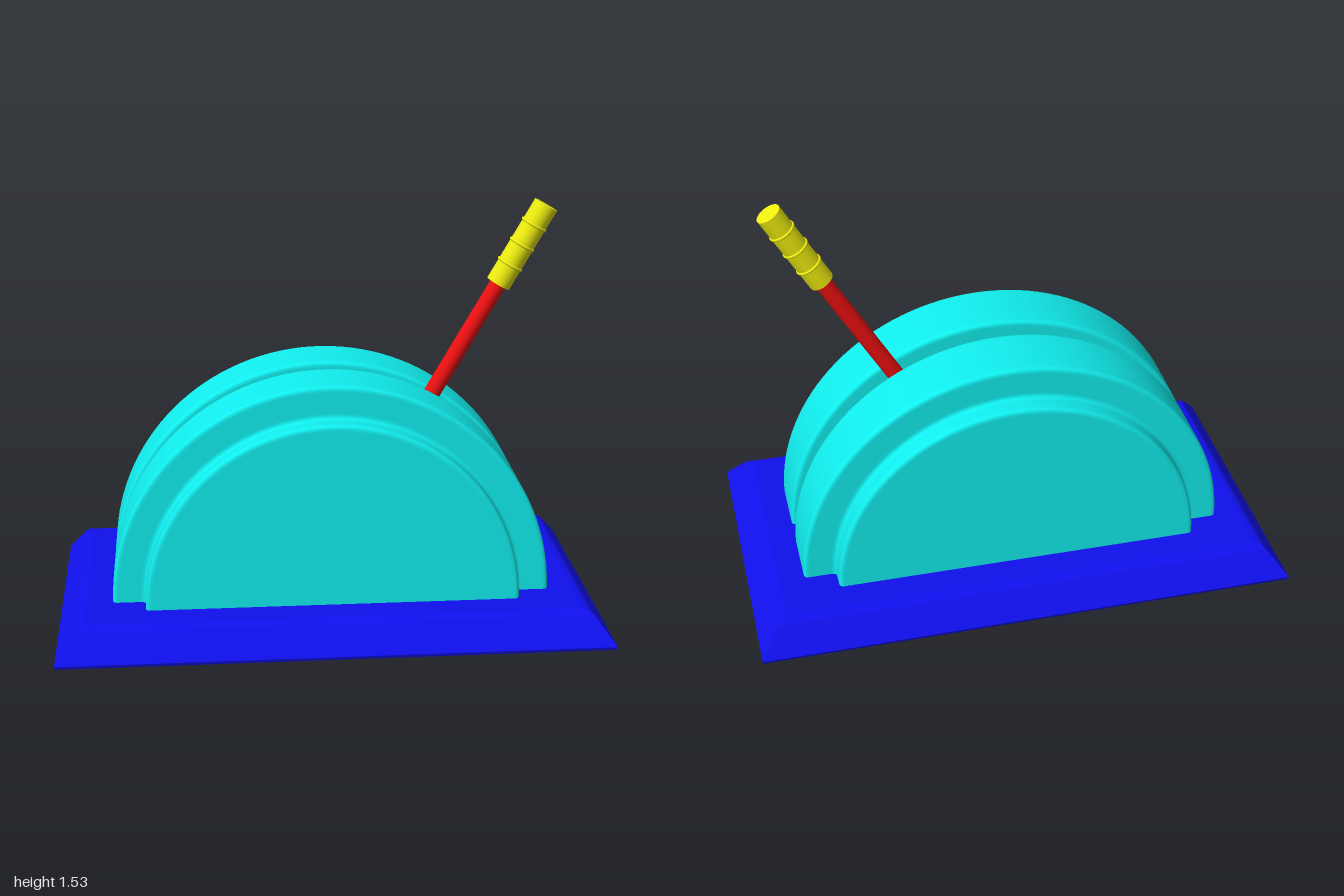
import * as THREE from 'three';

const mat = (color) => new THREE.MeshStandardMaterial({ color });

function addMesh(parent, name, geometry, material) {
  const mesh = new THREE.Mesh(geometry, material);
  mesh.name = name;
  parent.add(mesh);
  return mesh;
}

// Outline with every inner corner rounded; extra points keep the flats flat-shaded.
function roundedProfile(corners, r) {
  const points = [corners[0]];
  for (let i = 1; i < corners.length - 1; i++) {
    const c = corners[i];
    const toward = (p, d) => c.clone().add(p.clone().sub(c).setLength(d));
    const [a, b] = [corners[i - 1], corners[i + 1]];
    const arc = new THREE.QuadraticBezierCurve(toward(a, r), c, toward(b, r));
    points.push(toward(a, r + 0.003), ...arc.getPoints(6), toward(b, r + 0.003));
  }
  points.push(corners[corners.length - 1]);
  return points;
}

// Sloped plinth: a box whose rows are inset by level.
function baseGeometry() {
  const levels = [[0.12, 0.105], [0.115, 0.085], [0.105, 0.073], [0.012, 0], [0, 0.004]];
  const rows = levels.length - 1;
  const geo = new THREE.BoxGeometry(2, 1, 1.15, 1, rows, 1);
  const p = geo.attributes.position;
  for (let i = 0; i < p.count; i++) {
    const [y, inset] = levels[Math.round((0.5 - p.getY(i)) * rows)];
    p.setXYZ(i, Math.sign(p.getX(i)) * (1 - inset), y, Math.sign(p.getZ(i)) * (0.575 - inset));
  }
  const flat = geo.toNonIndexed();
  flat.computeVertexNormals();
  return flat;
}

export function createModel() {
  const model = new THREE.Group();
  model.name = 'leverControl';
  const blue = mat(0x1010ee), cyan = mat(0x11eeee), red = mat(0xee1010), yellow = mat(0xeeee10);

  addMesh(model, 'base', baseGeometry(), blue);

  // Two mirrored stepped half discs with a slot between them
  const corners = [[0, 0.04], [0.8, 0.04], [0.8, 0.28], [0.68, 0.28], [0.68, 0.36], [0, 0.36]]
    .map(([r, h]) => new THREE.Vector2(r, h));
  const housing = new THREE.LatheGeometry(roundedProfile(corners, 0.018), 64, Math.PI / 2, Math.PI);
  housing.rotateX(Math.PI / 2);
  for (const [name, turn] of [['frontHousing', 0], ['backHousing', Math.PI]]) {
    const half = addMesh(model, name, housing, cyan);
    half.position.y = 0.12;
    half.rotation.y = turn;
  }

  // Lever leaning toward +x, pivoting at the disc centre
  const lever = new THREE.Group();
  lever.name = 'lever';
  lever.position.y = 0.12;
  lever.rotation.z = -Math.PI / 6;
  model.add(lever);

  addMesh(lever, 'rod', new THREE.CylinderGeometry(0.031, 0.031, 1.3, 32), red).position.y = 0.65;
  const [start, end] = [1.265, 1.6];
  addMesh(lever, 'grip', new THREE.CylinderGeometry(0.046, 0.046, end - start, 32), yellow)
    .position.y = (start + end) / 2;

  // Raised rings dividing the grip into quarters
  for (let i = 1; i <= 3; i++) {
    const ring = addMesh(lever, 'gripRing' + i, new THREE.TorusGeometry(0.045, 0.006, 10, 32), yellow);
    ring.rotation.x = Math.PI / 2;
    ring.position.y = start + (end - start) * i / 4;
  }
  return model;
}
